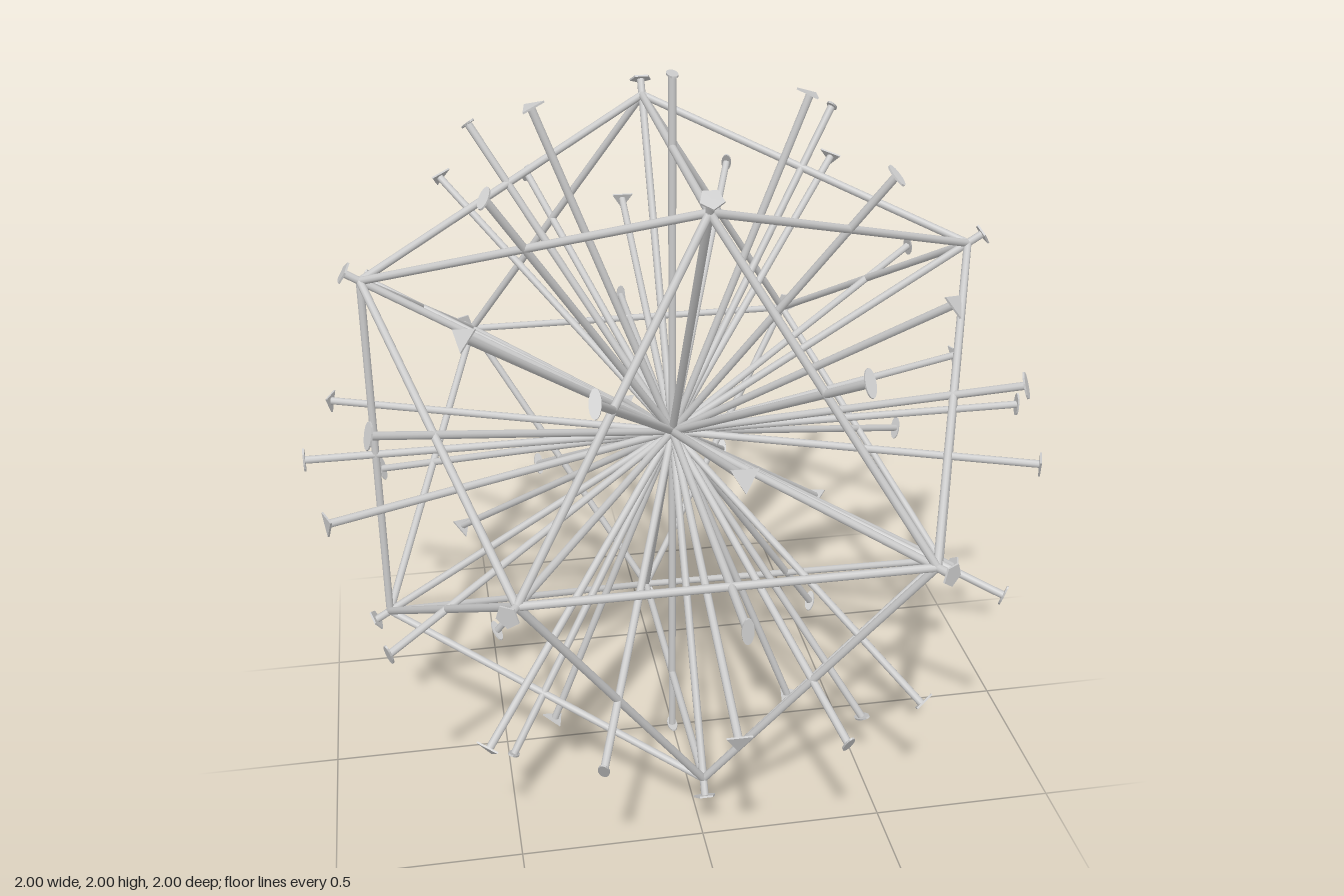
import * as THREE from 'three';

const PHI = (1 + Math.sqrt(5)) / 2;
const ROD = 0.0105, PLATE = 0.005;

// Cylinder lying along z, with its first corner pointing to -y
function bar(radius, length, sides) {
  return new THREE.CylinderGeometry(radius, radius, length, sides).rotateX(Math.PI / 2);
}

export function createModel() {
  const model = new THREE.Group();
  model.name = 'icosahedronSymmetryAxes';
  const smooth = new THREE.MeshStandardMaterial({ color: 0xcccccc });
  const flat = new THREE.MeshStandardMaterial({ color: 0xcccccc, flatShading: true });
  const zAxis = new THREE.Vector3(0, 0, 1);

  // Corners of an icosahedron with edges of length 1
  const corners = [];
  for (const a of [-0.5, 0.5]) for (const b of [-PHI / 2, PHI / 2]) {
    corners.push(new THREE.Vector3(0, b, a), new THREE.Vector3(b, a, 0), new THREE.Vector3(a, 0, b));
  }
  const joined = (p, q) => Math.abs(p.distanceTo(q) - 1) < 1e-3;

  // Edges, with the directions through edge middles and face centres
  const twofold = [], threefold = [];
  const frame = new THREE.Group();
  frame.name = 'icosahedronFrame';
  const edgeGeometry = bar(ROD, 1, 10);
  corners.forEach((p, i) => corners.forEach((q, j) => {
    if (j <= i || !joined(p, q)) return;
    const middle = p.clone().add(q).multiplyScalar(0.5);
    twofold.push(middle);
    const edge = new THREE.Mesh(edgeGeometry, smooth);
    edge.name = 'edgeRod';
    edge.position.copy(middle);
    edge.quaternion.setFromUnitVectors(zAxis, q.clone().sub(p).normalize());
    frame.add(edge);
    corners.forEach((r, k) => {
      if (k > j && joined(p, r) && joined(q, r)) threefold.push(p.clone().add(q).add(r));
    });
  }));
  model.add(frame);

  // One direction of each opposite pair
  const isLeading = (d) => {
    for (const c of [d.z, d.x, d.y]) if (Math.abs(c) > 1e-4) return c > 0;
    return false;
  };

  // Axis rods with a marker plate at both ends
  const axisGeometry = bar(ROD, 2 - PLATE, 10);
  function addAxes(name, directions, plateGeometry) {
    const set = new THREE.Group();
    set.name = name;
    for (const d of directions.filter(isLeading)) {
      const axis = new THREE.Group();
      axis.name = 'axis';
      axis.quaternion.setFromUnitVectors(zAxis, d.clone().normalize());
      const rod = new THREE.Mesh(axisGeometry, smooth);
      rod.name = 'axisRod';
      axis.add(rod);
      for (const end of [-1, 1]) {
        const plate = new THREE.Mesh(plateGeometry, flat);
        plate.name = 'endMarker';
        plate.position.z = end * (1 - PLATE / 2);
        axis.add(plate);
      }
      set.add(axis);
    }
    model.add(set);
  }
  addAxes('twofoldAxes', twofold, bar(0.035, PLATE, 14).scale(0.42, 1, 1));
  addAxes('threefoldAxes', threefold, bar(0.037, PLATE, 3));
  addAxes('fivefoldAxes', corners, bar(0.031, PLATE, 5));

  model.position.y = 1;
  const root = new THREE.Group();
  root.name = 'model';
  root.add(model);
  return root;
}
